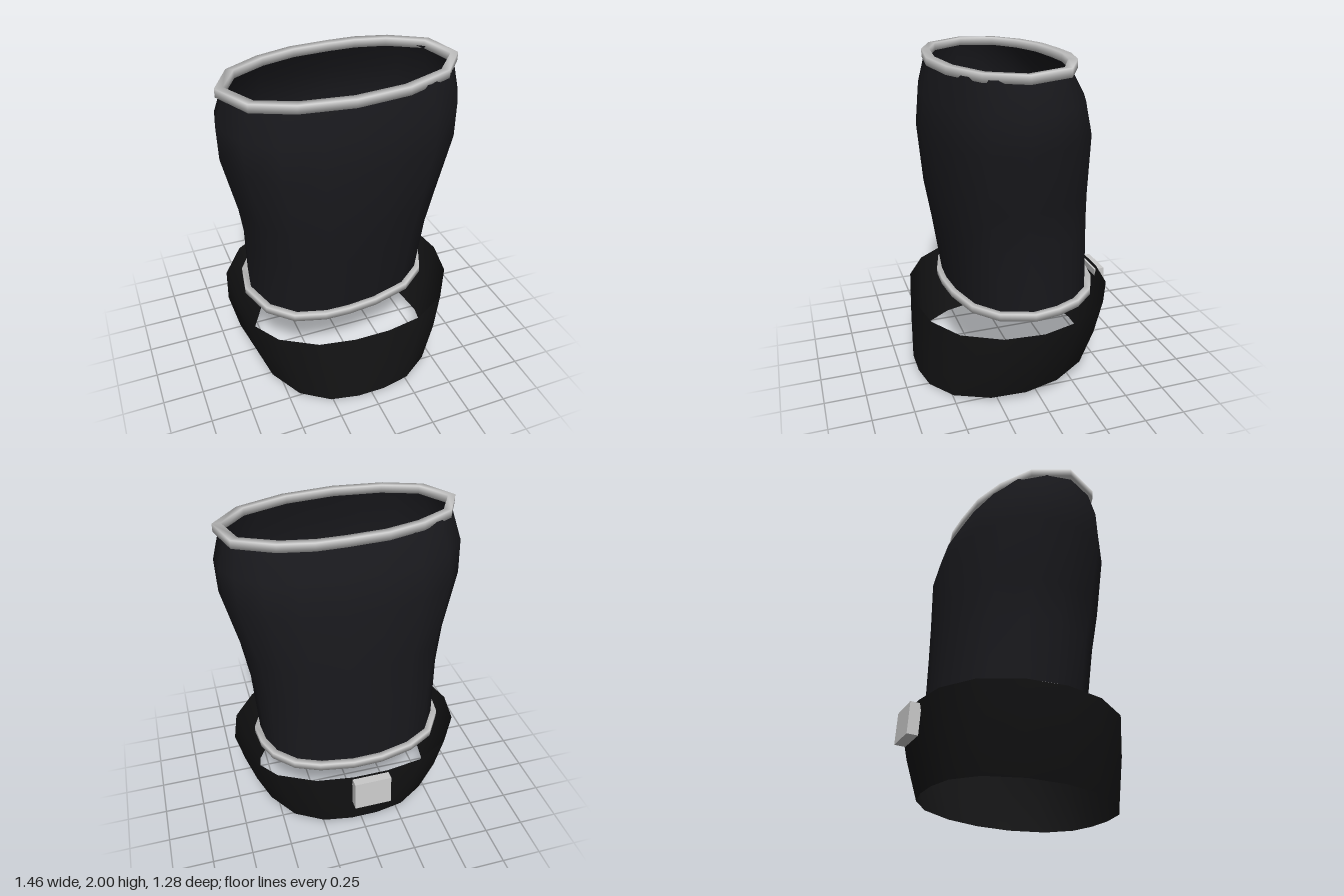
import * as THREE from 'three';

// Skewed 14-sided oval of the top rim (unit radius)
const rimOval = [
  [-0.69, 0.12], [-0.58, -0.08], [-0.38, -0.19], [-0.17, -0.25], [0.06, -0.265],
  [0.23, -0.265], [0.42, -0.225], [0.63, -0.11], [0.69, 0.12], [0.53, 0.31],
  [0.25, 0.42], [-0.06, 0.455], [-0.36, 0.42], [-0.58, 0.33],
].map(([x, z]) => [x / 0.69, (z - 0.095) / 0.36]);

// Fuller skewed 18-sided oval of the sleeve and bottom rim
const sleeveOval = [
  [-1, 0.13], [-0.95, -0.28], [-0.76, -0.67], [-0.49, -0.88], [-0.15, -0.99], [0.15, -1],
  [0.48, -0.92], [0.72, -0.77], [0.9, -0.5], [0.98, -0.2], [1, 0.13], [0.86, 0.55],
  [0.6, 0.82], [0.21, 0.96], [-0.1, 1], [-0.35, 0.99], [-0.65, 0.88], [-0.88, 0.6],
];

// Squarish 18-sided outline of the cuff band, mirrored from one quarter
const quarter = [[1, 0], [0.94, 0.38], [0.74, 0.74], [0.45, 0.94], [0.15, 1]];
const half = [...quarter, ...quarter.map(([u, v]) => [-u, v]).reverse()];
const bandOval = [...half, ...half.slice(1, -1).map(([u, v]) => [u, -v]).reverse()];

// Skin through tilted rings
function loft(outline, rings, wrap = false) {
  const n = outline.length, m = rings.length, pos = [], index = [];
  for (const { y, xc, rx, zc, rz, slope } of rings)
    for (const [u, v] of outline) pos.push(xc + u * rx, y - slope * v * rz, zc + v * rz);
  for (let i = 0; i < (wrap ? m : m - 1); i++)
    for (let j = 0; j < n; j++) {
      const k = (j + 1) % n, r = ((i + 1) % m) * n;
      const a = i * n + j, b = i * n + k, c = r + j, d = r + k;
      index.push(a, c, b, b, c, d);
    }
  const g = new THREE.BufferGeometry();
  g.setAttribute('position', new THREE.Float32BufferAttribute(pos, 3));
  g.setIndex(index);
  g.computeVertexNormals();
  return g;
}

// Ring described by its half width, front and back edge points and sideways shift
const ring = (rx, zFront, yFront, zBack, yBack, xc = 0) => ({
  rx,
  xc,
  y: (yFront + yBack) / 2,
  zc: (zFront + zBack) / 2,
  rz: (zFront - zBack) / 2,
  slope: (yBack - yFront) / (zFront - zBack),
});

// Four-sided piping that follows a ring
function piping(outline, base, radius) {
  const rows = [0, 1, 2, 3].map((i) => {
    const a = (i - 0.5) * Math.PI / 2, out = Math.cos(a) * radius;
    return { ...base, y: base.y + Math.sin(a) * radius, rx: base.rx + out, rz: base.rz + out };
  });
  return loft(outline, rows, true);
}

export function createModel() {
  const model = new THREE.Group();
  model.name = 'sleeveWithCuff';
  const cloth = new THREE.MeshStandardMaterial({ color: 0x19191d, side: THREE.DoubleSide });
  const leather = new THREE.MeshStandardMaterial({ color: 0x141415, side: THREE.DoubleSide });
  const grey = new THREE.MeshStandardMaterial({ color: 0xcccccc });

  const add = (name, geometry, material) => {
    const mesh = new THREE.Mesh(geometry, material);
    mesh.name = name;
    model.add(mesh);
    return mesh;
  };

  // Open sleeve, swelling towards the top
  add('sleeve', loft(sleeveOval, [
    ring(0.572, 0.4, 0.54, -0.452, 0.59, -0.012),
    ring(0.592, 0.458, 0.94, -0.437, 1.0, -0.006),
    ring(0.63, 0.497, 1.18, -0.427, 1.24, -0.003),
    ring(0.717, 0.522, 1.54, -0.412, 1.6),
    ring(0.724, 0.5, 1.75, -0.36, 1.79),
    ring(0.672, 0.45, 1.935, -0.262, 1.965),
  ]), cloth);

  // Piping at both ends of the sleeve
  add('topRim', piping(rimOval, ring(0.685, 0.453, 1.943, -0.264, 1.973), 0.034), grey);
  add('bottomRim', piping(sleeveOval, ring(0.587, 0.41, 0.533, -0.467, 0.578, -0.012), 0.032), grey);

  // Loose flared cuff band
  add('cuffBand', loft(bandOval, [
    ring(0.585, 0.642, 0.0, -0.474, 0.09),
    ring(0.68, 0.638, 0.25, -0.535, 0.34),
    ring(0.732, 0.628, 0.48, -0.574, 0.565),
  ]), leather);

  // Small block on the back of the cuff
  const buckle = add('buckle', new THREE.BoxGeometry(0.227, 0.19, 0.066), grey);
  buckle.position.set(0, 0.451, -0.598);
  buckle.rotation.x = 0.06;

  return model;
}
